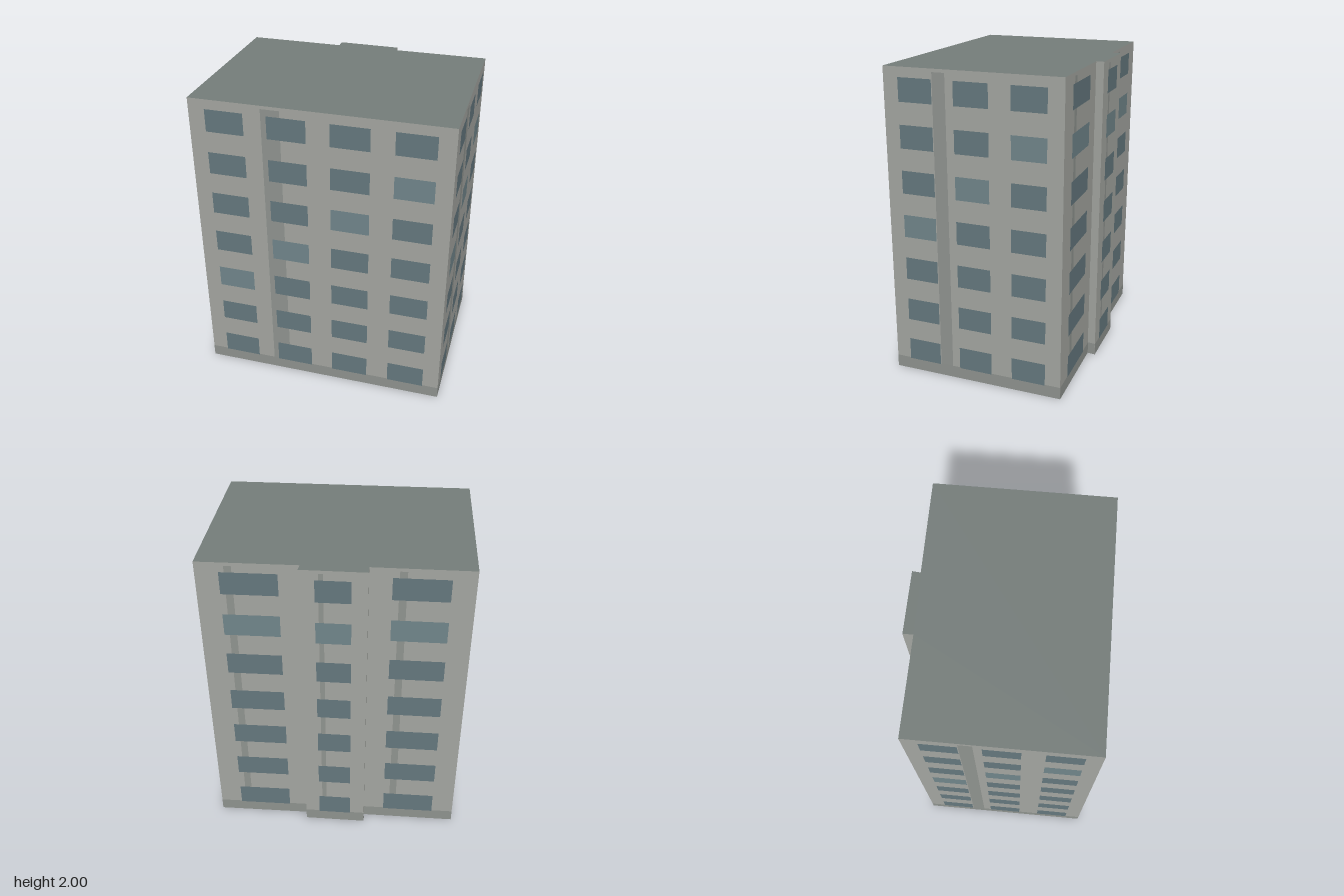
import * as THREE from 'three';

const HEIGHT = 2, FLOORS = 7, STOREY = 0.286, BASE = 0.08;

// Footprint corners (x, z), running left to right along each wall seen from outside,
// with the number of windows per floor, their first edge, width and spacing (fractions of the wall)
const WALLS = [
  { name: 'leftWall', at: [-0.94, -0.3], count: 3, start: 0.086, width: 0.194, step: 0.316 },
  { name: 'frontWall', at: [-0.615, 0.78], count: 4, start: 0.065, width: 0.15, step: 0.24 },
  { name: 'rightWall', at: [0.937, 0.3], count: 3, start: 0.086, width: 0.194, step: 0.316 },
  { name: 'backWallA', at: [0.607, -0.785], count: 1, start: 0.23, width: 0.56, step: 0 },
  { name: 'stairBaySideA', at: [0.022, -0.602], count: 0 },
  { name: 'stairBayBack', at: [0.012, -0.653], count: 1, start: 0.23, width: 0.53, step: 0 },
  { name: 'stairBaySideB', at: [-0.372, -0.538], count: 0 },
  { name: 'backWallB', at: [-0.352, -0.478], count: 1, start: 0.22, width: 0.55, step: 0 },
];

const paint = (color, side = THREE.FrontSide) => new THREE.MeshStandardMaterial({ color, side });

export function createModel() {
  const model = new THREE.Group();
  model.name = 'apartmentBlock';
  const mats = {
    wall: paint(0xa3a5a0, THREE.DoubleSide),
    roof: paint(0x757d7a, THREE.DoubleSide),
    base: paint(0x8e928e),
    strip: paint(0x8f938f),
    glass: paint(0x64777d),
    paleGlass: paint(0x70858a),
  };

  // Flat rectangle on a wall, measured from the wall's lower left corner
  const panel = (parent, name, mat, x0, x1, y0, y1, z) => {
    const mesh = new THREE.Mesh(new THREE.PlaneGeometry(x1 - x0, y1 - y0), mat);
    mesh.position.set((x0 + x1) / 2, (y0 + y1) / 2, z);
    mesh.name = name;
    parent.add(mesh);
  };

  WALLS.forEach((spec, i) => {
    const [px, pz] = spec.at;
    const [qx, qz] = WALLS[(i + 1) % WALLS.length].at;
    const length = Math.hypot(qx - px, qz - pz);
    const wall = new THREE.Group();
    wall.name = spec.name;
    wall.position.set(px, 0, pz);
    wall.rotation.y = Math.atan2(pz - qz, qx - px);
    model.add(wall);

    panel(wall, 'wallFace', mats.wall, 0, length, 0, HEIGHT, 0);
    panel(wall, 'baseBand', mats.base, 0, length, 0, BASE, 0.0015);
    if (!spec.count) return;

    // Vertical darker strip behind the windows
    panel(wall, 'wallStrip', mats.strip, 0.284 * length, 0.357 * length, BASE, 1.98, 0.0015);

    // Window grid, with a diagonal of paler panes
    for (let row = 0; row < FLOORS; row++) {
      for (let col = 0; col < spec.count; col++) {
        const x = (spec.start + col * spec.step) * length;
        const y = 0.075 + row * STOREY;
        const glass = row - col === 6 - spec.count ? mats.paleGlass : mats.glass;
        panel(wall, 'window', glass, x, x + spec.width * length, y, y + 0.147, 0.003);
      }
    }
  });

  // Flat roof over the footprint; the underside stays open
  const outline = new THREE.Shape(WALLS.map(({ at }) => new THREE.Vector2(at[0], -at[1])));
  const roof = new THREE.Mesh(new THREE.ShapeGeometry(outline).rotateX(-Math.PI / 2), mats.roof);
  roof.position.y = HEIGHT;
  roof.name = 'roof';
  model.add(roof);

  return model;
}
